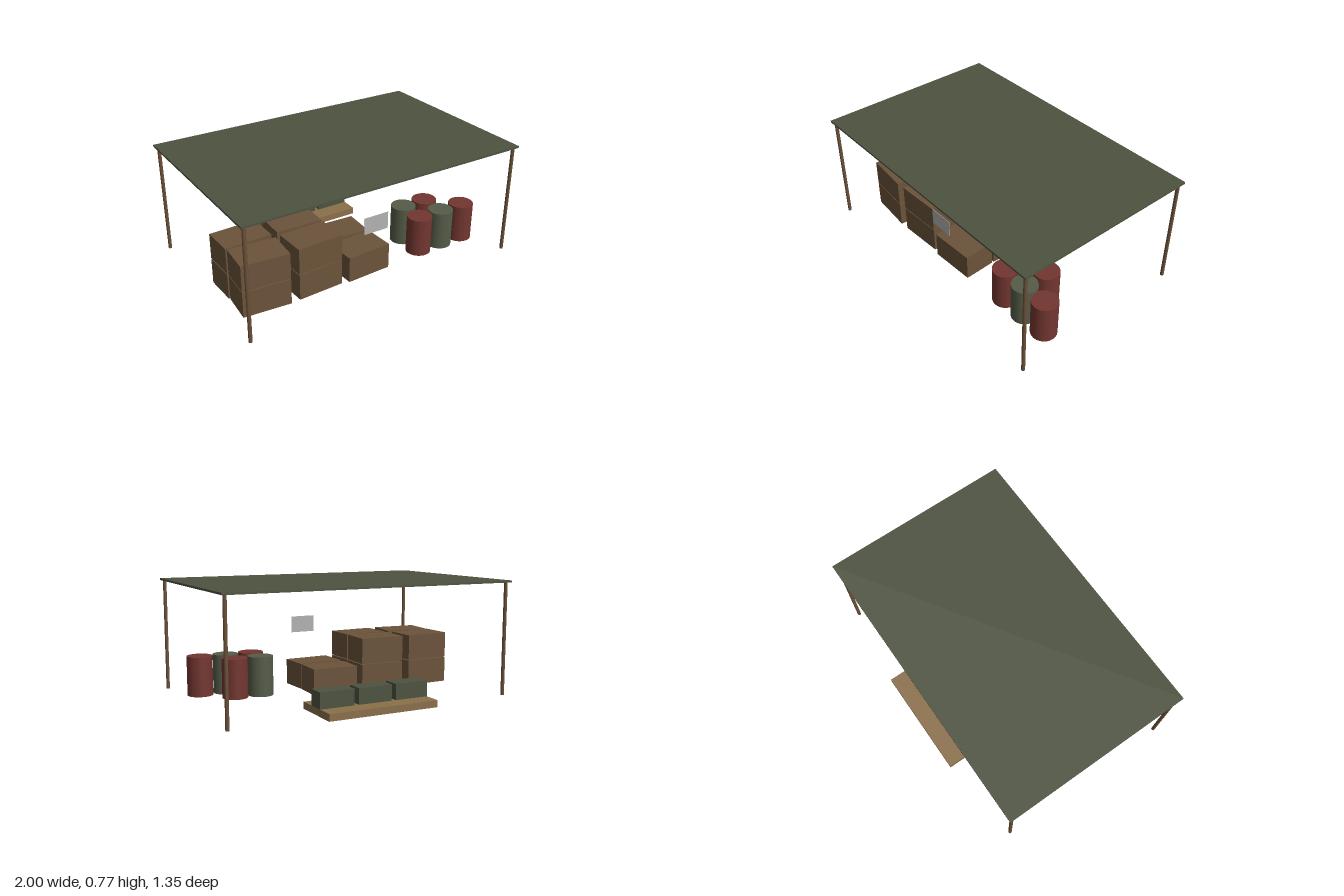
import * as THREE from 'three';

const paint = (name, color) => {
  const m = new THREE.MeshStandardMaterial({ color });
  m.name = name;
  return m;
};

export function createModel() {
  const group = new THREE.Group();
  const canvas = paint('canvas green', 0x4e5340);
  const wood = paint('pole wood', 0x6b5038);
  const crateWood = paint('crate brown', 0x6b533a);
  const plank = paint('pallet tan', 0x8b704b);
  const red = paint('barrel red', 0x733630);
  const green = paint('barrel green', 0x555c48);
  const grey = paint('sign grey', 0xb2b2b2);

  const add = (name, geometry, material, x, y, z, yaw = 0) => {
    const mesh = new THREE.Mesh(geometry, material);
    mesh.name = name;
    mesh.position.set(x, y, z);
    mesh.rotation.y = yaw;
    group.add(mesh);
  };

  // Flat canopy on four poles
  add('canopy', new THREE.BoxGeometry(2, 0.013, 1.294), canvas, 0, 0.7665, 0.028);
  const pole = new THREE.CylinderGeometry(0.012, 0.012, 0.76, 12);
  for (const x of [-0.974, 0.974])
    for (const z of [0.65, -0.589]) add('pole', pole, wood, x, 0.38, z);

  // Crates: column, row, layer and a slight turn for each
  const crate = new THREE.BoxGeometry(0.32, 0.177, 0.22);
  const crates = [
    [0, 0, 0, -0.08], [1, 0, 0, 0.05], [2, 0, 0, 0.045],
    [0, 1, 0, 0.03], [1, 1, 0, -0.03], [2, 1, 0, -0.05],
    [0, 0, 1, -0.08], [1, 0, 1, 0.045],
    [0, 1, 1, 0.03], [1, 1, 1, -0.035],
  ];
  for (const [col, row, layer, yaw] of crates)
    add('crate', crate, crateWood, -0.738 + col * 0.368, 0.0885 + layer * 0.183, 0.325 - row * 0.247, yaw);

  // Barrels: three in front, two behind, in alternating colours
  const barrel = new THREE.CylinderGeometry(0.086, 0.086, 0.267, 24);
  for (let i = 0; i < 5; i++)
    add('barrel', barrel, i % 2 ? green : red, 0.468 + (i % 3) * 0.182, 0.1335, 0.357 - Math.floor(i / 3) * 0.183);

  // Pallet with three ammunition boxes
  add('pallet', new THREE.BoxGeometry(0.764, 0.046, 0.352), plank, 0, 0.023, -0.499);
  const supply = new THREE.BoxGeometry(0.235, 0.104, 0.117);
  for (const x of [-0.265, 0, 0.265]) add('supplyBox', supply, canvas, x, 0.098, -0.498);

  // Thin hanging sign
  add('sign', new THREE.BoxGeometry(0.178, 0.116, 0.003), grey, 0, 0.416, 0.501);

  return group;
}
